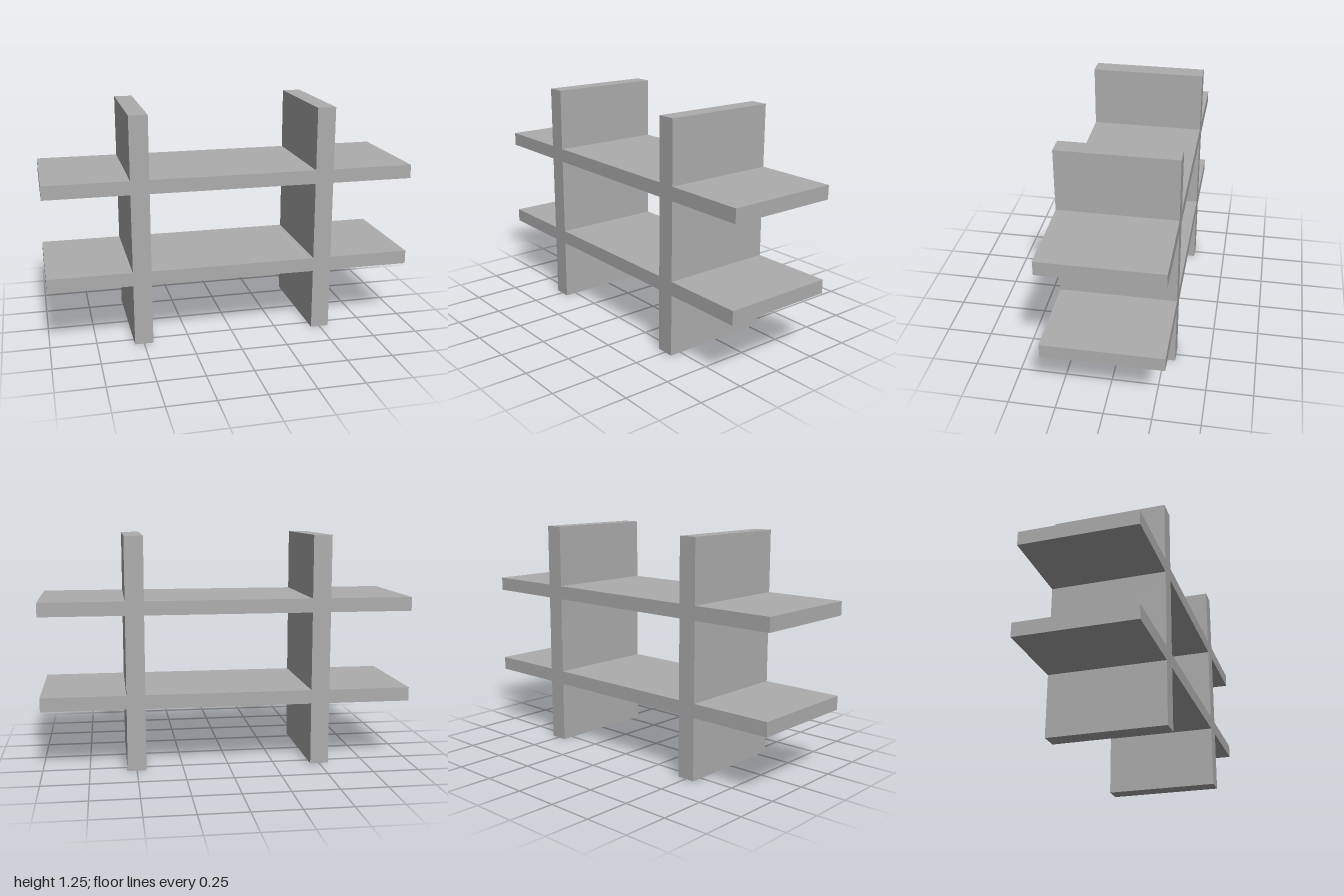
import * as THREE from 'three';

const DEPTH = 0.625, HEIGHT = 1.25;
const INNER = 0.45, OUTER = 0.55, END = 1;              // upright faces and shelf end in x
const SHELVES = [[0.3375, 0.4125], [0.8375, 0.9125]];   // bottom and top of each shelf

export function createModel() {
  const group = new THREE.Group();
  group.name = 'shelfUnit';
  const grey = new THREE.MeshStandardMaterial({ color: 0xadadad });
  grey.name = 'lightGrey';

  // Right half of the interlocked silhouette, from bottom to top
  const [[a, b], [c, d]] = SHELVES;
  const right = [[INNER, a], [INNER, 0], [OUTER, 0]];
  for (const [low, high] of SHELVES) right.push([OUTER, low], [END, low], [END, high], [OUTER, high]);
  right.push([OUTER, HEIGHT], [INNER, HEIGHT], [INNER, d]);

  // Mirror it to close the outline
  const left = right.map(([x, y]) => [-x, y]).reverse();
  const outline = new THREE.Shape([...right, ...left].map(([x, y]) => new THREE.Vector2(x, y)));

  // Open bay between the uprights and the two shelves
  outline.holes.push(new THREE.Path(
    [[-INNER, b], [-INNER, c], [INNER, c], [INNER, b]].map(([x, y]) => new THREE.Vector2(x, y))
  ));

  // Uprights and shelves join flush, so they are one solid
  const geometry = new THREE.ExtrudeGeometry(outline, { depth: DEPTH, bevelEnabled: false });
  geometry.translate(0, 0, -DEPTH / 2);
  const frame = new THREE.Mesh(geometry, grey);
  frame.name = 'uprightsAndShelves';
  group.add(frame);
  return group;
}
